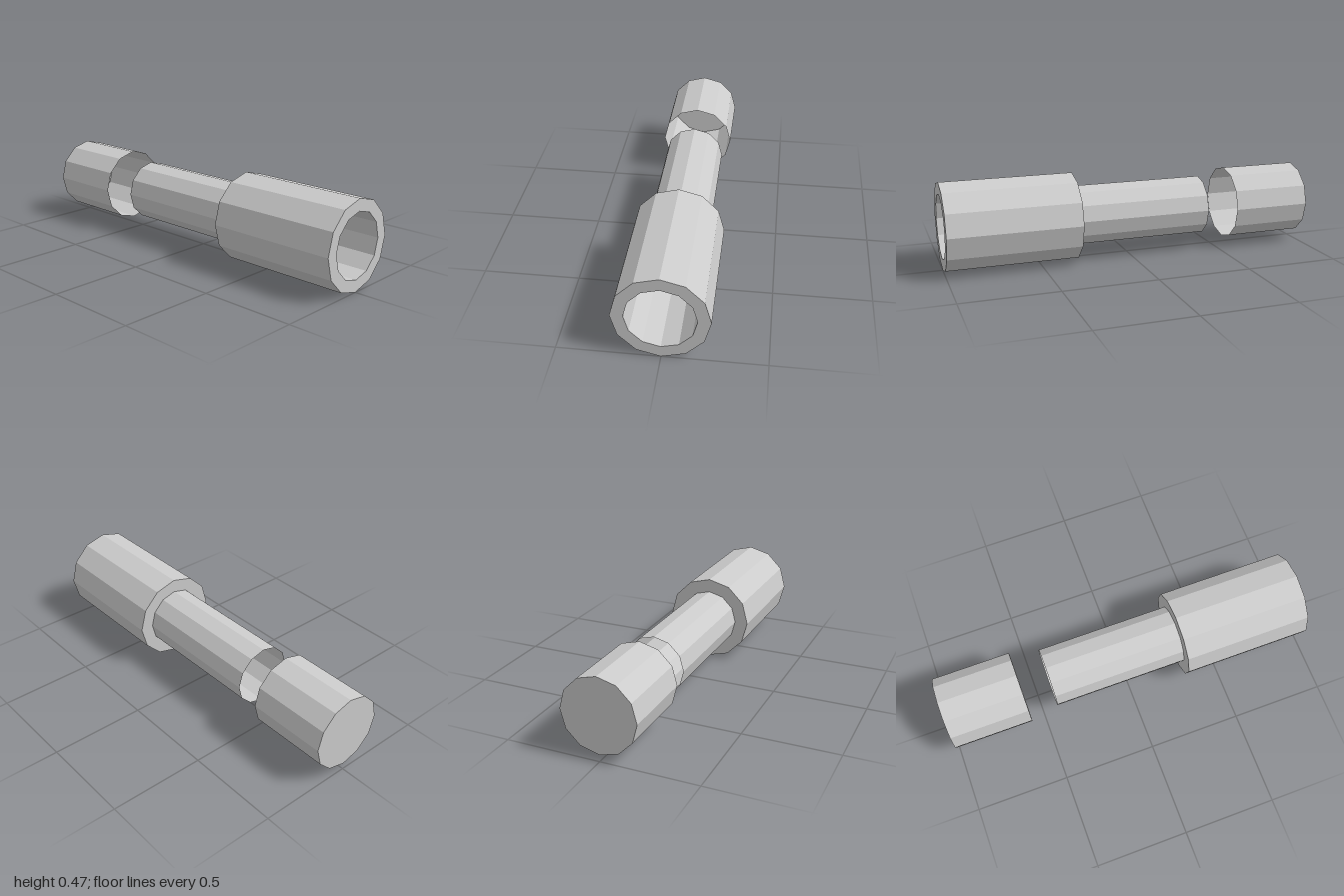
import * as THREE from 'three';

const SIDES = 12;
const AXIS_Y = 0.2325;

// Twelve-sided turned shell along x; profile is a list of [x, radius]
function turned(name, profile) {
  const points = profile.map(([x, r]) => new THREE.Vector2(r, x));
  const geometry = new THREE.LatheGeometry(points, SIDES);
  geometry.rotateZ(-Math.PI / 2);
  const material = new THREE.MeshStandardMaterial({
    color: 0xcccccc, flatShading: true, side: THREE.DoubleSide,
  });
  const mesh = new THREE.Mesh(geometry, material);
  mesh.name = name;
  mesh.position.y = AXIS_Y;
  return mesh;
}

export function createModel() {
  const model = new THREE.Group();
  model.name = 'tubeWithCap';

  // Detached cap: closed outer end, open towards the tube
  model.add(turned('endCap', [[-1, 0], [-1, 0.197], [-0.575, 0.197]]));

  // Narrow tube, open at its free end
  model.add(turned('narrowTube', [[-0.42, 0.16], [0.305, 0.16]]));

  // Wide sleeve: back shoulder, outer wall, rim and blind bore
  model.add(turned('wideSleeve', [
    [0.305, 0.16], [0.305, 0.2325], [1, 0.2325],
    [1, 0.17], [0.32, 0.17], [0.32, 0],
  ]));

  return model;
}
